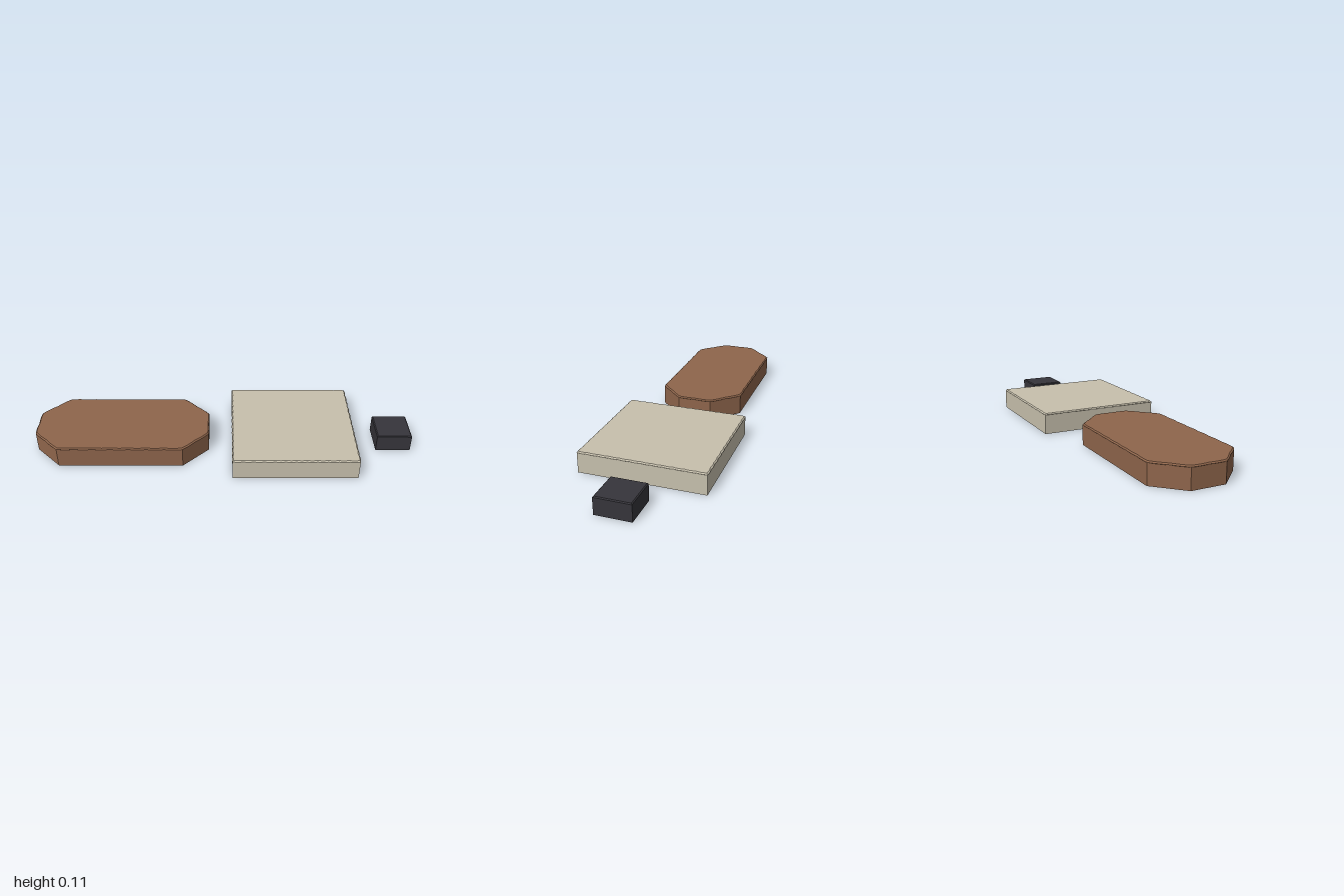
import * as THREE from 'three';

const mat = (name, color) => {
  const m = new THREE.MeshStandardMaterial({ color });
  m.name = name;
  return m;
};

// Slab with upright walls, a faintly scalloped rim and a narrow bevel.
// The outline runs from +x towards +z; scallop is the length of one bump.
function slab(outline, height, bevel, scallop, depth) {
  const wall = [], rim = [];
  outline.forEach(([x, z], i) => {
    const [x2, z2] = outline[(i + 1) % outline.length];
    const len = Math.hypot(x2 - x, z2 - z);
    const nx = (z2 - z) / len, nz = -(x2 - x) / len;
    const n = scallop ? Math.max(1, Math.round(len / scallop)) * 4 : 1;
    for (let k = 0; k < n; k++) {
      const t = k / n;
      const bump = depth * Math.sin((k % 4) * Math.PI / 4);
      const px = x + (x2 - x) * t, pz = z + (z2 - z) * t;
      wall.push([px, pz]);
      rim.push([px + nx * bump, pz + nz * bump]);
    }
  });
  const maxX = Math.max(...outline.map(p => p[0])), maxZ = Math.max(...outline.map(p => p[1]));
  const ring = (pts, y, inset) => pts.map(([x, z]) =>
    new THREE.Vector3(x * (1 - inset / maxX), y, z * (1 - inset / maxZ)));
  const rings = [
    ring(wall, 0, 0),
    ring(wall, height - bevel - 0.002, 0),
    ring(rim, height - bevel, 0),
    ring(rim, height, bevel),
  ];
  const pos = [];
  const tri = (...v) => v.forEach(p => pos.push(p.x, p.y, p.z));
  const low = new THREE.Vector3(), high = new THREE.Vector3(0, height, 0);
  for (let i = 0; i < wall.length; i++) {
    const j = (i + 1) % wall.length;
    for (let r = 0; r < 3; r++) {
      const a = rings[r], b = rings[r + 1];
      tri(a[i], b[i], b[j]);
      tri(a[i], b[j], a[j]);
    }
    tri(high, rings[3][j], rings[3][i]);
    tri(low, rings[0][i], rings[0][j]);
  }
  const g = new THREE.BufferGeometry();
  g.setAttribute('position', new THREE.Float32BufferAttribute(pos, 3));
  g.computeVertexNormals();
  return g;
}

const rect = (w, d) => [[w, -d], [w, d], [-w, d], [-w, -d]];

export function createModel() {
  const model = new THREE.Group();
  const add = (name, geometry, material, x) => {
    const mesh = new THREE.Mesh(geometry, material);
    mesh.name = name;
    mesh.position.x = x;
    model.add(mesh);
  };

  // Long slab with cut corners
  const octagon = [
    [0.458, -0.09], [0.458, 0.09], [0.325, 0.225], [-0.325, 0.225],
    [-0.458, 0.09], [-0.458, -0.09], [-0.325, -0.225], [0.325, -0.225],
  ];
  add('octagonalSlab', slab(octagon, 0.112, 0.006, 0.09, 0.003), mat('brown', 0x8e654b), -0.54);

  // Square slab
  add('squareSlab', slab(rect(0.323, 0.323), 0.112, 0.006, 0.054, 0.003), mat('sand', 0xc7c0ad), 0.366);

  // Small dark block
  add('smallBlock', slab(rect(0.092, 0.092), 0.092, 0.005, 0, 0), mat('charcoal', 0x36353b), 0.906);

  return model;
}
